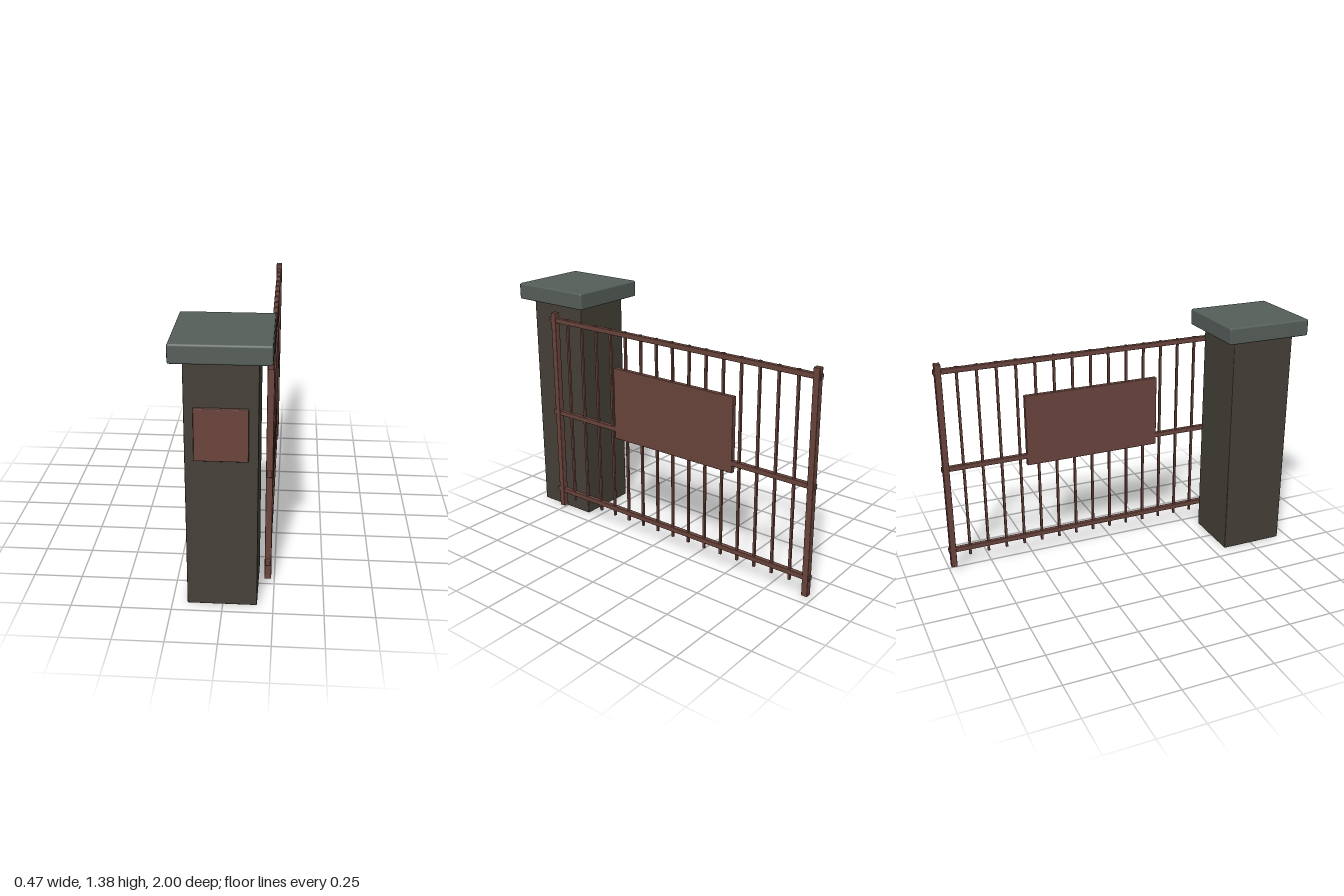
import * as THREE from 'three';
import { RoundedBoxGeometry } from 'three/addons/geometries/RoundedBoxGeometry.js';

const stone = new THREE.MeshStandardMaterial({ color: 0x454038 });
stone.name = 'dark stone';
const slate = new THREE.MeshStandardMaterial({ color: 0x565f5a });
slate.name = 'grey cap stone';
const rust = new THREE.MeshStandardMaterial({ color: 0x6a443c });
rust.name = 'rusty iron';

// Softly bevelled box given by its min and max corners
function block(name, material, min, max, bevel) {
  const size = max.map((v, i) => v - min[i]);
  const mesh = new THREE.Mesh(new RoundedBoxGeometry(...size, 1, bevel), material);
  mesh.position.set(...min.map((v, i) => (v + max[i]) / 2));
  mesh.name = name;
  return mesh;
}

export function createModel() {
  const model = new THREE.Group();
  model.name = 'gatePillarAndGate';

  // Stone pillar with its cap and front plaque
  const pillar = new THREE.Group();
  pillar.name = 'pillar';
  pillar.add(
    block('pillarShaft', stone, [-0.175, 0, 0.573], [0.17, 1.29, 0.94], 0.005),
    block('pillarCap', slate, [-0.235, 1.287, 0.51], [0.232, 1.38, 1.0], 0.01),
    block('plaque', rust, [-0.13, 0.797, 0.93], [0.125, 1.06, 0.956], 0.004)
  );
  model.add(pillar);

  // Iron gate standing beside the pillar and reaching back
  const gate = new THREE.Group();
  gate.name = 'gate';
  const gx = 0.217;
  const part = (name, thick, y0, y1, z0, z1, bevel) =>
    gate.add(block(name, rust, [gx - thick / 2, y0, z0], [gx + thick / 2, y1, z1], bevel));

  // End posts
  for (const z of [0.733, -0.976]) part('gatePost', 0.034, 0.03, 1.243, z - 0.017, z + 0.017, 0.003);

  // Horizontal rails
  for (const y of [0.134, 0.638, 1.198]) part('gateRail', 0.026, y - 0.014, y + 0.014, -1.0, 0.77, 0.003);

  // Upright bars
  for (let i = 0; i < 15; i++) {
    const z = 0.636 - i * 0.108;
    part('gateBar', 0.014, 0.085, 1.217, z - 0.007, z + 0.007, 0.002);
  }

  // Solid panel in the middle
  part('gatePanel', 0.028, 0.583, 1.0, -0.515, 0.285, 0.004);
  model.add(gate);

  return model;
}
